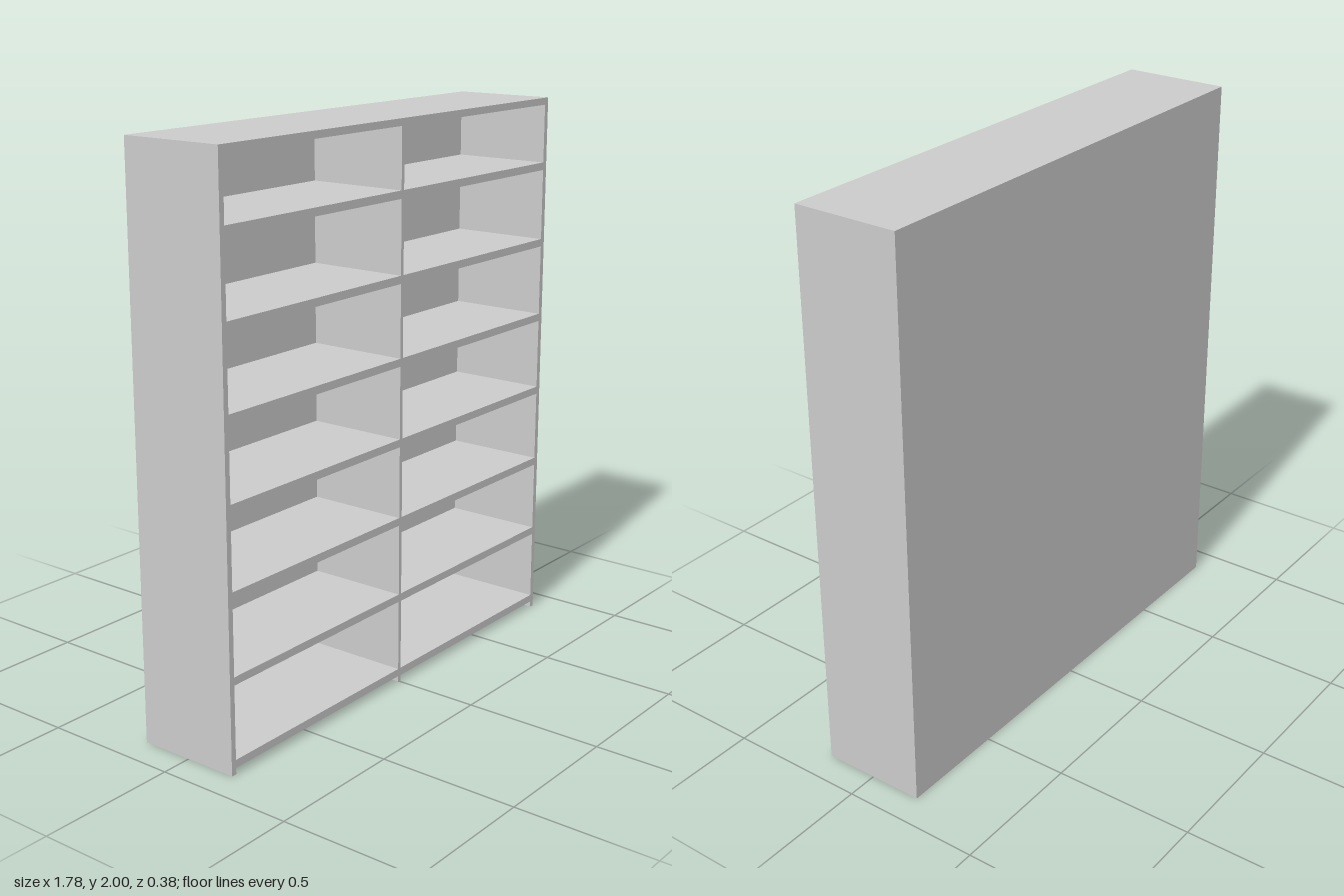
import * as THREE from 'three';

const HALF_W = 0.89, HEIGHT = 2, HALF_D = 0.19;
const SIDE = 0.02, DIVIDER = 0.014, BACK = 0.01;
const SHELF = 0.028, PITCH = 0.2857, FIRST_SHELF = 0.022, ROWS = 7, TOP = 0.025;

export function createModel() {
  const group = new THREE.Group();
  group.name = 'bookcase';
  const material = new THREE.MeshStandardMaterial({ color: 0xcccccc });

  const inner = DIVIDER / 2, outer = HALF_W - SIDE;

  // Carcass outline: the sides and divider reach the floor below the lowest shelf
  const outline = new THREE.Shape([
    [-HALF_W, 0], [-outer, 0], [-outer, FIRST_SHELF], [-inner, FIRST_SHELF], [-inner, 0],
    [inner, 0], [inner, FIRST_SHELF], [outer, FIRST_SHELF], [outer, 0], [HALF_W, 0],
    [HALF_W, HEIGHT], [-HALF_W, HEIGHT],
  ].map(([x, y]) => new THREE.Vector2(x, y)));

  // Two columns of open compartments
  for (let row = 0; row < ROWS; row++) {
    const y0 = FIRST_SHELF + row * PITCH + SHELF;
    const y1 = row === ROWS - 1 ? HEIGHT - TOP : y0 + PITCH - SHELF;
    for (const [x0, x1] of [[-outer, -inner], [inner, outer]]) {
      outline.holes.push(new THREE.Path([
        new THREE.Vector2(x0, y0), new THREE.Vector2(x0, y1),
        new THREE.Vector2(x1, y1), new THREE.Vector2(x1, y0),
      ]));
    }
  }

  // Sides, top, divider and shelves in one piece
  const frame = new THREE.Mesh(
    new THREE.ExtrudeGeometry(outline, { depth: 2 * HALF_D - BACK, bevelEnabled: false }), material);
  frame.name = 'shelfFrame';
  frame.position.z = -HALF_D + BACK;
  group.add(frame);

  // Thin panel closing the back
  const back = new THREE.Mesh(new THREE.BoxGeometry(2 * HALF_W, HEIGHT, BACK), material);
  back.name = 'backPanel';
  back.position.set(0, HEIGHT / 2, -HALF_D + BACK / 2);
  group.add(back);

  return group;
}
